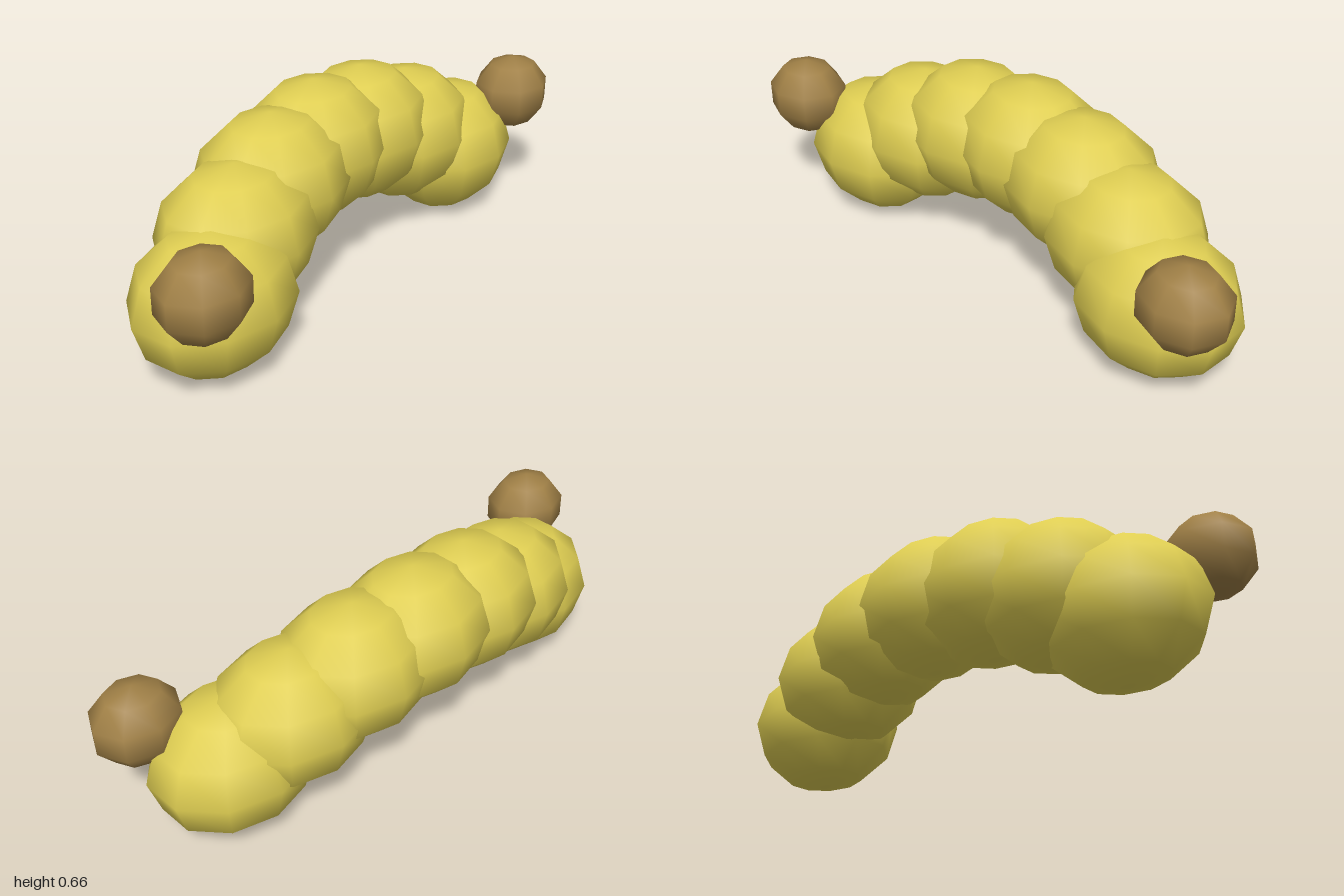
import * as THREE from 'three';

export function createModel() {
  const yellow = new THREE.MeshStandardMaterial({ color: 0xdfce52 });
  yellow.name = 'yellow';
  const brown = new THREE.MeshStandardMaterial({ color: 0xa08046 });
  brown.name = 'brown';

  // Low-sided smooth balls, stretched sideways; a vertex points along +z and -z
  const bodyGeometry = new THREE.SphereGeometry(0.23, 10, 6).rotateY(Math.PI / 2).scale(1.2, 1, 1);
  const tipGeometry = new THREE.SphereGeometry(0.132, 8, 5).scale(1.13, 1, 1);

  const group = new THREE.Group();
  group.name = 'archedBody';
  const add = (name, geometry, material, x, y, z) => {
    const mesh = new THREE.Mesh(geometry, material);
    mesh.name = name;
    mesh.position.set(x, y, z);
    group.add(mesh);
  };

  // Arch of overlapping segments, mirrored from the middle outwards
  add('middleSegment', bodyGeometry, yellow, 0, 0.43, -0.08);
  for (const [side, s] of [['left', 1], ['right', -1]]) {
    add(side + 'InnerSegment', bodyGeometry, yellow, s * 0.24, 0.405, -0.066);
    add(side + 'OuterSegment', bodyGeometry, yellow, s * 0.46, 0.332, -0.029);
    add(side + 'EndSegment', bodyGeometry, yellow, s * 0.645, 0.23, 0.033);
    // Small ball on each end
    add(side + 'Tip', tipGeometry, brown, s * 0.858, 0.397, 0.186);
  }
  return group;
}
